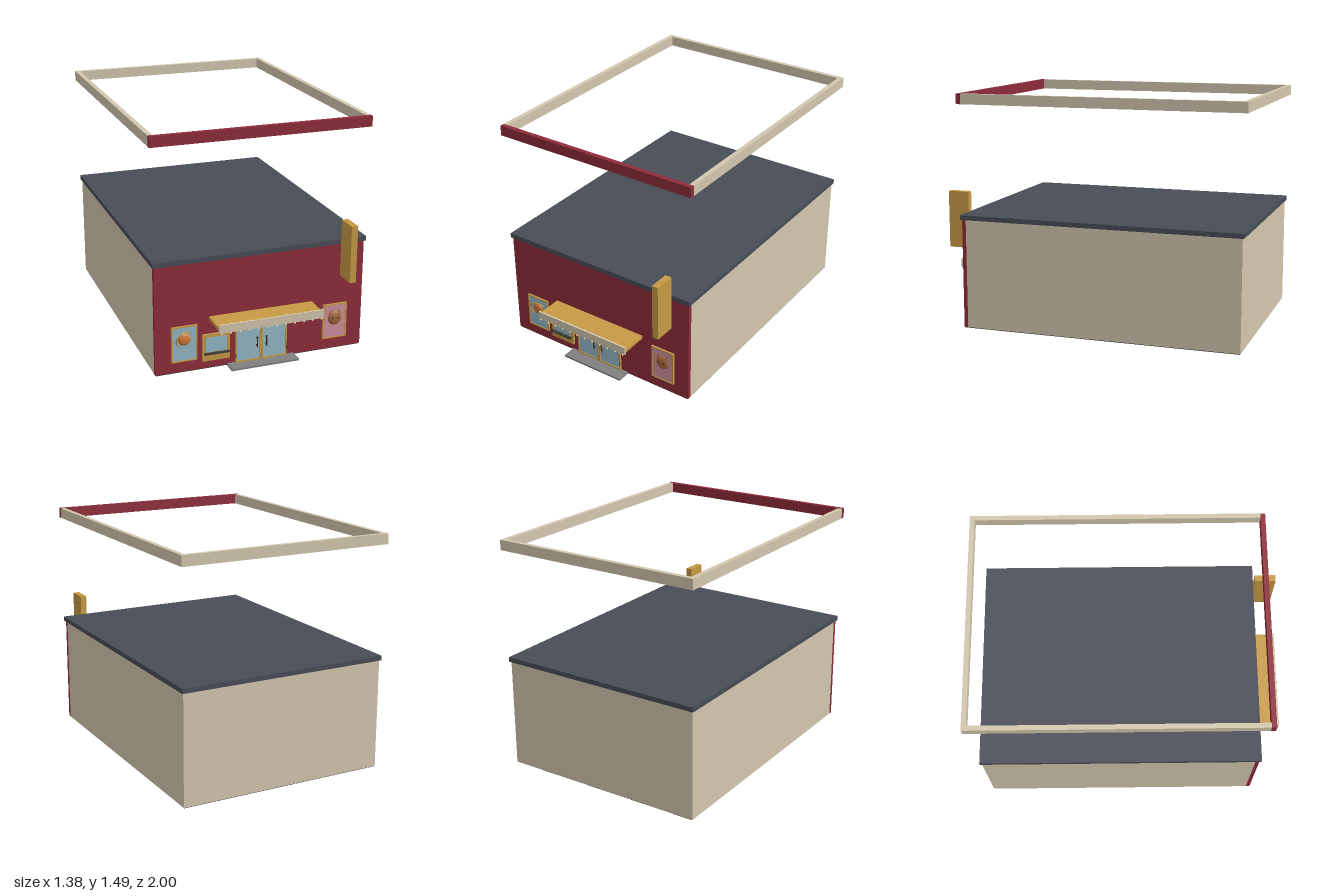
import * as THREE from 'three';

const mats = {};
const mat = (color) => (mats[color] ??= new THREE.MeshStandardMaterial({ color }));
const RED = 0x8e2c3a, CREAM = 0xd2c6ae, SLATE = 0x484c56, GOLD = 0xc79a45, GLASS = 0x94b8c8,
  DARK = 0x3a3a38, STEP = 0x808080, ORANGE = 0xcf7a3a, PINK = 0xcf8f9c, BROWN = 0xa8683a, BULB = 0xf0dfa0;

function add(parent, name, geometry, color, x = 0, y = 0, z = 0) {
  const mesh = new THREE.Mesh(geometry, mat(color));
  mesh.name = name;
  mesh.position.set(x, y, z);
  parent.add(mesh);
  return mesh;
}

// Box given by its minimum and maximum on each axis
function box(parent, name, color, [x0, x1], [y0, y1], [z0, z1]) {
  return add(parent, name, new THREE.BoxGeometry(x1 - x0, y1 - y0, z1 - z0), color,
    (x0 + x1) / 2, (y0 + y1) / 2, (z0 + z1) / 2);
}

function group(parent, name) {
  const g = new THREE.Group();
  g.name = name;
  parent.add(g);
  return g;
}

// Rectangular frame with a hole, extruded toward +z
function frame(parent, name, color, [x0, x1], [y0, y1], border, z, depth) {
  const rect = (P, b) => new P([[x0 + b, y0 + b], [x1 - b, y0 + b], [x1 - b, y1 - b], [x0 + b, y1 - b]]
    .map(([x, y]) => new THREE.Vector2(x, y)));
  const shape = rect(THREE.Shape, 0);
  shape.holes.push(rect(THREE.Path, border));
  return add(parent, name, new THREE.ExtrudeGeometry(shape, { depth, bevelEnabled: false }), color, 0, 0, z);
}

function poster(parent, name, color, xs, ys) {
  const g = group(parent, name);
  box(g, 'posterSheet', color, xs.map((x, i) => x + (i ? -0.004 : 0.004)),
    ys.map((y, i) => y + (i ? -0.004 : 0.004)), [0.81, 0.818]);
  frame(g, 'posterFrame', GOLD, xs, ys, 0.008, 0.81, 0.012);
  return g;
}

export function createModel() {
  const model = new THREE.Group();
  model.name = 'cinema';

  // Shell
  const shell = group(model, 'building');
  box(shell, 'floor', DARK, [-0.67, 0.67], [0, 0.012], [-0.975, 0.808]);
  box(shell, 'backWall', CREAM, [-0.675, 0.675], [0.005, 0.7], [-0.98, -0.95]);
  for (const s of [-1, 1]) {
    add(shell, s < 0 ? 'rightWall' : 'leftWall', new THREE.BoxGeometry(0.03, 0.695, 1.735), CREAM,
      s * 0.66, 0.3525, -0.0825);
  }
  box(shell, 'frontWall', RED, [-0.675, 0.675], [0.005, 0.7], [0.785, 0.81]);
  box(shell, 'roof', SLATE, [-0.685, 0.685], [0.7, 0.73], [-0.99, 0.82]);

  // Raised parapet ring
  const parapet = group(model, 'parapet');
  const py = [1.425, 1.49];
  box(parapet, 'frontParapet', RED, [-0.69, 0.69], py, [0.795, 0.825]);
  box(parapet, 'backParapet', CREAM, [-0.69, 0.69], py, [-1, -0.97]);
  for (const s of [-1, 1]) {
    add(parapet, s < 0 ? 'rightParapet' : 'leftParapet', new THREE.BoxGeometry(0.03, 0.065, 1.765), CREAM,
      s * 0.675, 1.4575, -0.0875);
  }

  // Entrance doors and step
  box(model, 'doorStep', STEP, [-0.22, 0.22], [0, 0.012], [0.808, 0.9]);
  const doors = group(model, 'doors');
  for (const s of [-1, 1]) {
    const xs = s < 0 ? [-0.168, -0.001] : [0.001, 0.168];
    frame(doors, 'doorFrame', GOLD, xs, [0.012, 0.292], 0.009, 0.808, 0.016);
    box(doors, 'doorGlass', GLASS, [xs[0] + 0.006, xs[1] - 0.006], [0.018, 0.286], [0.808, 0.818]);
    add(doors, 'doorHandle', new THREE.CylinderGeometry(0.004, 0.004, 0.07, 10), DARK, s * 0.03, 0.135, 0.834);
    for (const dy of [-0.025, 0.025]) {
      box(doors, 'handleMount', DARK, [s * 0.03 - 0.003, s * 0.03 + 0.003],
        [0.132 + dy, 0.138 + dy], [0.816, 0.834]);
    }
    for (const y of [0.06, 0.24]) {
      add(doors, 'hinge', new THREE.CylinderGeometry(0.003, 0.003, 0.02, 8), DARK, s * 0.167, y, 0.824);
    }
  }

  // Canopy with a fascia edged by bulbs
  const canopy = group(model, 'canopy');
  box(canopy, 'canopySlab', GOLD, [-0.335, 0.335], [0.32, 0.342], [0.81, 0.983]);
  box(canopy, 'fascia', CREAM, [-0.335, 0.335], [0.308, 0.36], [0.98, 0.992]);
  const bulb = new THREE.SphereGeometry(0.006, 10, 8);
  for (let i = 0; i < 12; i++) {
    for (const y of [0.304, 0.364]) add(canopy, 'bulb', bulb, BULB, -0.32 + i * 0.64 / 11, y, 0.992);
  }

  // Projecting blade sign
  const sign = group(model, 'bladeSign');
  box(sign, 'signBox', GOLD, [0.516, 0.557], [0.494, 0.857], [0.82, 0.957]);
  box(sign, 'signBracket', GOLD, [0.527, 0.546], [0.53, 0.68], [0.808, 0.822]);

  // Planet poster
  const space = poster(model, 'planetPoster', GLASS, [-0.575, -0.412], [0.075, 0.306]);
  const planet = add(space, 'planet', new THREE.SphereGeometry(0.039, 24, 16), ORANGE, -0.495, 0.22, 0.82);
  planet.scale.z = 0.35;
  const ring = add(space, 'planetRing', new THREE.TorusGeometry(0.055, 0.004, 8, 40), GOLD, -0.495, 0.22, 0.821);
  ring.rotation.set(0.3, 0.25, 0);

  // Cat poster
  const cat = poster(model, 'catPoster', PINK, [0.41, 0.572], [0.075, 0.306]);
  const head = add(cat, 'catHead', new THREE.SphereGeometry(0.045, 24, 16), BROWN, 0.491, 0.21, 0.82);
  head.scale.z = 0.3;
  for (const s of [-1, 1]) {
    const ear = add(cat, 'catEar', new THREE.ConeGeometry(0.015, 0.03, 12), BROWN, 0.491 + s * 0.029, 0.254, 0.82);
    ear.rotation.z = -s * 0.25;
    ear.scale.z = 0.4;
    add(cat, 'catEye', new THREE.SphereGeometry(0.007, 12, 8), DARK, 0.491 + s * 0.017, 0.216, 0.831);
  }

  // Ticket window
  const ticket = group(model, 'ticketWindow');
  box(ticket, 'ticketPanel', GOLD, [-0.381, -0.205], [0.055, 0.23], [0.808, 0.824]);
  box(ticket, 'ticketGlass', GLASS, [-0.361, -0.225], [0.115, 0.21], [0.82, 0.828]);
  box(ticket, 'ticketShelf', DARK, [-0.373, -0.213], [0.103, 0.11], [0.82, 0.845]);

  return model;
}
